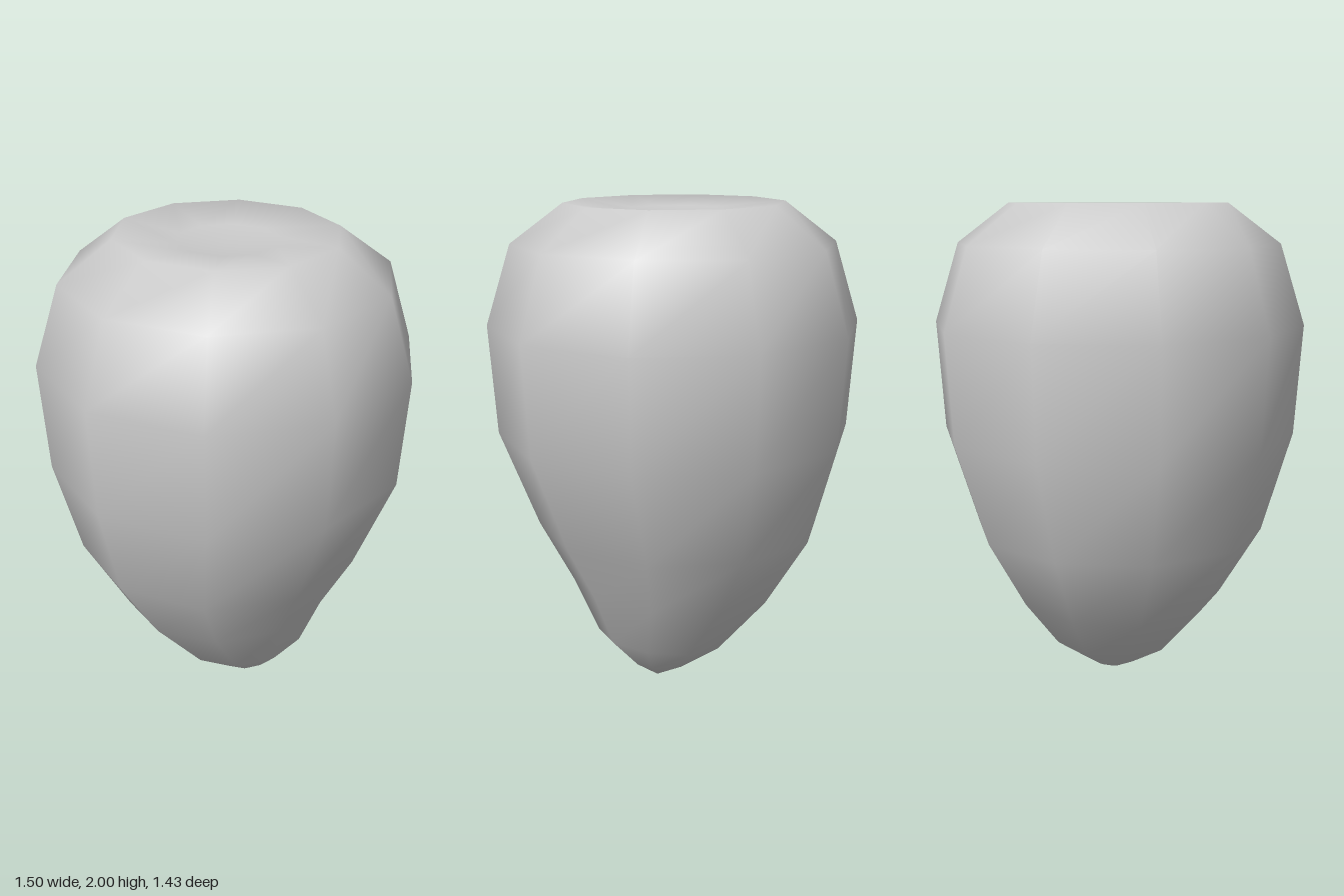
import * as THREE from 'three';

const SIDES = 10;

// Cross-sections from the tip up: [height, radius, centre x, tilt towards +x]
const RINGS = [
  [0.065, 0.115, 0.095, 0.015],
  [0.185, 0.27, 0.07, 0.035],
  [0.405, 0.43, 0, 0.035],
  [0.68, 0.59, -0.03, 0],
  [1.08, 0.72, 0, 0],
  [1.52, 0.75, 0, 0],
  [1.84, 0.65, 0, 0],
  [1.998, 0.44, 0, -0.002],
  [1.97, 0.2, 0, 0], // shallow dimple in the crown
];
const TIP = [0.1, 0, 0];
const CROWN = [0, 1.955, 0];

function bodyGeometry() {
  const positions = [];
  const index = [];
  for (const [y, r, cx, tilt] of RINGS) {
    for (let j = 0; j < SIDES; j++) {
      const a = (j / SIDES) * Math.PI * 2;
      positions.push(cx + r * Math.cos(a), y + tilt * Math.cos(a), -r * Math.sin(a));
    }
  }
  positions.push(...TIP, ...CROWN);
  const tip = RINGS.length * SIDES;
  const crown = tip + 1;
  const top = (RINGS.length - 1) * SIDES;

  for (let j = 0; j < SIDES; j++) {
    const k = (j + 1) % SIDES;
    // Walls between neighbouring rings
    for (let i = 0; i < RINGS.length - 1; i++) {
      const lo = i * SIDES;
      const hi = lo + SIDES;
      index.push(lo + j, lo + k, hi + k, lo + j, hi + k, hi + j);
    }
    // Closing fans at the tip and the crown
    index.push(tip, k, j);
    index.push(crown, top + j, top + k);
  }

  const geometry = new THREE.BufferGeometry();
  geometry.setAttribute('position', new THREE.Float32BufferAttribute(positions, 3));
  geometry.setIndex(index);
  geometry.computeVertexNormals();
  return geometry;
}

export function createModel() {
  const group = new THREE.Group();
  const body = new THREE.Mesh(bodyGeometry(), new THREE.MeshStandardMaterial({ color: 0xcccccc }));
  body.name = 'taperedBody';
  group.add(body);
  return group;
}
